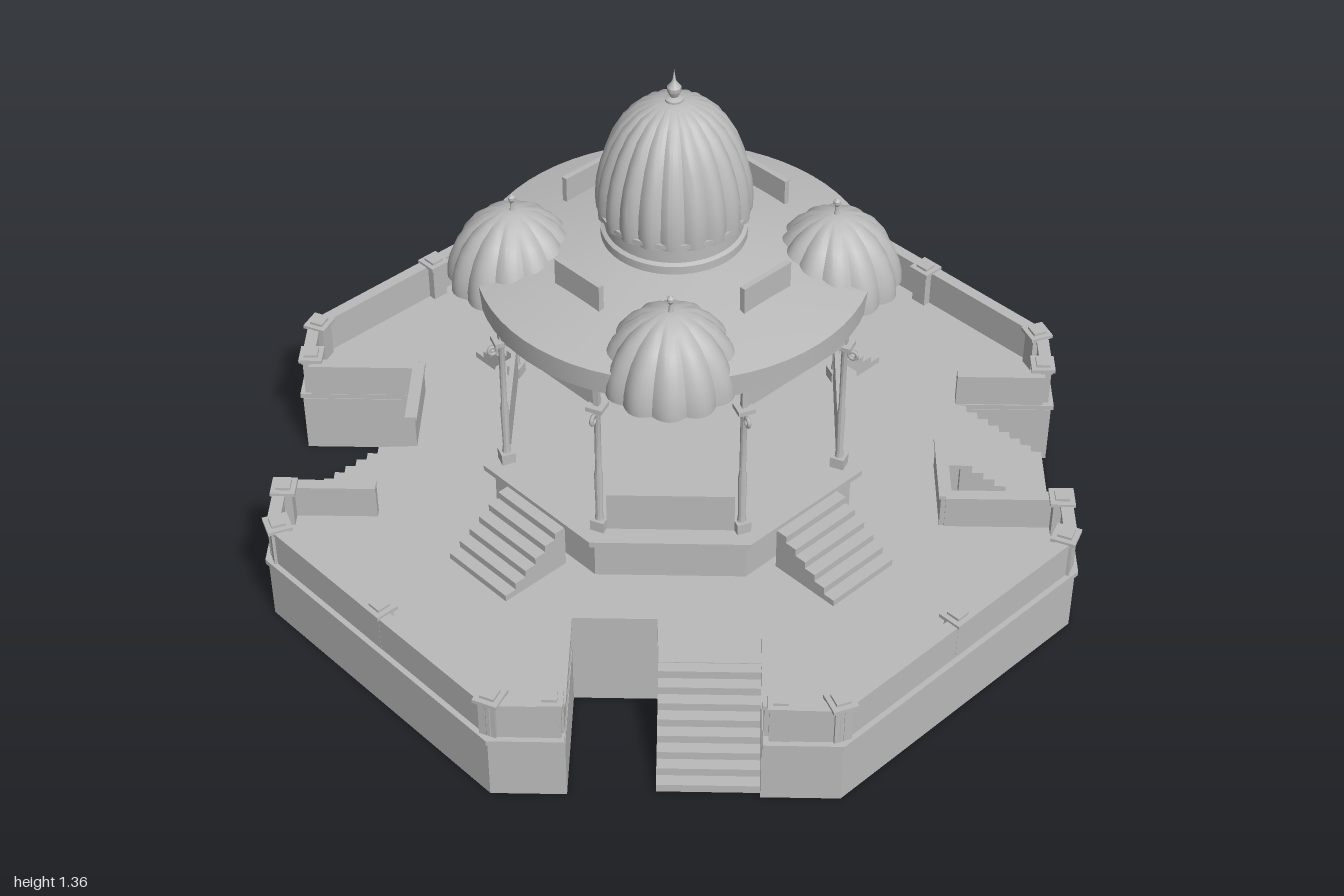
import * as THREE from 'three';
import { toCreasedNormals } from 'three/addons/utils/BufferGeometryUtils.js';

const stone = new THREE.MeshStandardMaterial({ color: 0xbababa });
stone.name = 'grey stone';

function add(parent, geo, name, x = 0, y = 0, z = 0, ry = 0) {
  const m = new THREE.Mesh(geo, stone);
  m.name = name;
  m.position.set(x, y, z);
  m.rotation.y = ry;
  parent.add(m);
  return m;
}

// Box given by its bottom and top heights
function block(parent, name, w, y0, y1, d, x, z, ry = 0) {
  return add(parent, new THREE.BoxGeometry(w, y1 - y0, d), name, x, (y0 + y1) / 2, z, ry);
}

// Flat slab from an [x, z] outline
function slab(parent, name, pts, y0, y1) {
  const shape = new THREE.Shape(pts.map(([x, z]) => new THREE.Vector2(x, z)));
  const geo = new THREE.ExtrudeGeometry(shape, { depth: y1 - y0, bevelEnabled: false });
  geo.rotateX(Math.PI / 2);
  return add(parent, geo, name, 0, y1, 0);
}

function octagon(apothem) {
  const r = apothem / Math.cos(Math.PI / 8);
  return Array.from({ length: 8 }, (_, i) => {
    const a = Math.PI / 8 + i * Math.PI / 4;
    return [r * Math.cos(a), r * Math.sin(a)];
  });
}

function lathe(profile, segments) {
  const pts = profile.map(([x, y]) => new THREE.Vector2(x, y));
  return toCreasedNormals(new THREE.LatheGeometry(pts, segments), 0.5);
}

// Ribbed dome: a lathe pinched inward between its lobes
function lobedDome(profile, lobes, depth) {
  const pts = profile.map(([x, y]) => new THREE.Vector2(x, y));
  const geo = new THREE.LatheGeometry(pts, lobes * 6);
  const p = geo.attributes.position;
  for (let i = 0; i < p.count; i++) {
    const a = Math.atan2(p.getX(i), p.getZ(i));
    const k = 1 - depth * (1 - Math.abs(Math.cos(a * lobes / 2)));
    p.setX(i, p.getX(i) * k);
    p.setZ(i, p.getZ(i) * k);
  }
  return toCreasedNormals(geo, 0.5);
}

// Low wall with a coping between two points
function parapet(parent, x0, z0, x1, z1, top = 0.288) {
  const len = Math.hypot(x1 - x0, z1 - z0), ry = -Math.atan2(z1 - z0, x1 - x0);
  const x = (x0 + x1) / 2, z = (z0 + z1) / 2;
  block(parent, 'parapet', len, 0.18, top - 0.01, 0.022, x, z, ry);
  block(parent, 'parapetCoping', len, top - 0.01, top, 0.032, x, z, ry);
}

function post(parent, x, z, ry) {
  block(parent, 'parapetPost', 0.044, 0.18, 0.285, 0.044, x, z, ry);
  block(parent, 'parapetPostCap', 0.062, 0.285, 0.295, 0.062, x, z, ry);
  block(parent, 'parapetPostTop', 0.036, 0.295, 0.302, 0.036, x, z, ry);
}

// Solid steps rising toward the centre
function stairs(parent, name, x, width, zOuter, zInner, y0, y1, n) {
  const tread = (zOuter - zInner) / n, rise = (y1 - y0) / n;
  for (let i = 0; i < n; i++)
    block(parent, name, width, y0, y0 + rise * (i + 1), tread, x, zOuter - tread * (i + 0.5));
}

function column(parent, x, z) {
  const c = new THREE.Group();
  c.name = 'column';
  c.position.set(x, 0, z);
  c.rotation.y = Math.atan2(x, z);
  parent.add(c);
  block(c, 'columnBase', 0.036, 0.31, 0.342, 0.036, 0, 0);
  add(c, lathe([[0.012, 0.34], [0.009, 0.36], [0.011, 0.48], [0.008, 0.5], [0.008, 0.67], [0.014, 0.69]], 10), 'columnShaft');
  block(c, 'columnCapital', 0.042, 0.688, 0.7, 0.042, 0, 0);
  block(c, 'columnNeck', 0.014, 0.7, 0.77, 0.014, 0, 0);
  const curl = new THREE.TorusGeometry(0.011, 0.005, 6, 12);
  curl.rotateY(Math.PI / 2);
  add(c, curl, 'columnBracket', 0, 0.668, 0.022);
}

function quarter() {
  const g = new THREE.Group();
  g.name = 'side';
  // Entrance stair and parapets round the stairwell
  stairs(g, 'entranceStep', 0.1, 0.244, 0.98, 0.738, 0, 0.18, 8);
  parapet(g, -0.242, 0.68, -0.242, 0.97, 0.278);
  parapet(g, -0.25, 0.679, -0.025, 0.679, 0.278);
  parapet(g, 0.236, 0.74, 0.236, 0.97, 0.278);
  // Outer parapet and posts
  parapet(g, 0.236, 0.975, 0.4, 0.975);
  parapet(g, 0.4, 0.975, 0.975, 0.4);
  parapet(g, -0.4, 0.975, -0.236, 0.975);
  for (const s of [-1, 1]) {
    post(g, s * 0.262, 0.965, 0);
    post(g, s * 0.398, 0.962, s * Math.PI / 8);
    column(g, s * 0.172, 0.415);
  }
  post(g, 0.68, 0.68, Math.PI / 4);
  // Balustrade panel between columns
  block(g, 'balustradePanel', 0.31, 0.31, 0.42, 0.012, 0, 0.415);
  // Small lobed dome and finial
  add(g, lobedDome([[0, 0.765], [0.166, 0.765], [0.165, 0.79], [0.157, 0.825], [0.138, 0.87],
    [0.108, 0.91], [0.07, 0.94], [0.03, 0.956], [0, 0.96]], 12, 0.09), 'smallDome', 0, 0, 0.39);
  add(g, lathe([[0.008, 0.955], [0.005, 0.965], [0.004, 0.98], [0.009, 0.988], [0.009, 0.996], [0, 1.004]], 10),
    'smallFinial', 0, 0, 0.39);

  // Parts on the diagonal
  const d = new THREE.Group();
  d.name = 'diagonal';
  d.rotation.y = Math.PI / 4;
  g.add(d);
  stairs(d, 'innerStep', 0, 0.21, 0.665, 0.47, 0.18, 0.3, 6);
  block(d, 'lintel', 0.33, 0.695, 0.77, 0.014, 0, 0.414);
  block(d, 'roofTablet', 0.155, 0.86, 0.938, 0.015, 0, 0.31);
  return g;
}

export function createModel() {
  const model = new THREE.Group();
  model.name = 'pavilion';

  // Terrace outline with a stairwell cut into each side
  const side = [[0.41, 1], [0.222, 1], [0.222, 0.74], [-0.022, 0.74], [-0.022, 0.69], [-0.23, 0.69], [-0.23, 1], [-0.41, 1]];
  const outline = [];
  for (let k = 0; k < 4; k++) {
    const c = Math.round(Math.cos(k * Math.PI / 2)), s = Math.round(Math.sin(k * Math.PI / 2));
    for (const [x, z] of side) outline.push([x * c - z * s, x * s + z * c]);
  }
  slab(model, 'terraceWall', outline.map(([x, z]) => [x * 0.993, z * 0.993]), 0, 0.168);
  slab(model, 'terraceFloor', outline, 0.168, 0.182);

  // Kiosk plinth
  slab(model, 'plinth', octagon(0.445), 0.18, 0.297);
  slab(model, 'plinthFloor', octagon(0.472), 0.297, 0.312);

  // Four matching sides
  for (let k = 0; k < 4; k++) {
    const q = quarter();
    q.rotation.y = k * Math.PI / 2;
    model.add(q);
  }

  // Roof, main dome and finial
  add(model, lathe([[0, 0.768], [0.482, 0.768], [0.485, 0.83], [0.17, 0.905], [0, 0.905]], 64), 'roof');
  add(model, lathe([[0.178, 0.89], [0.178, 0.925], [0.168, 0.93], [0.168, 0.975], [0.185, 0.98], [0.185, 0.992], [0, 0.992]], 48), 'drum');
  add(model, lobedDome([[0, 0.975], [0.188, 0.975], [0.19, 1.01], [0.186, 1.06], [0.175, 1.11], [0.155, 1.165],
    [0.127, 1.215], [0.09, 1.252], [0.045, 1.275], [0, 1.282]], 20, 0.06), 'mainDome');
  add(model, lathe([[0.022, 1.272], [0.022, 1.284], [0.01, 1.29], [0.017, 1.305], [0.017, 1.315], [0.007, 1.328],
    [0.004, 1.335], [0, 1.362]], 14), 'mainFinial');
  return model;
}
